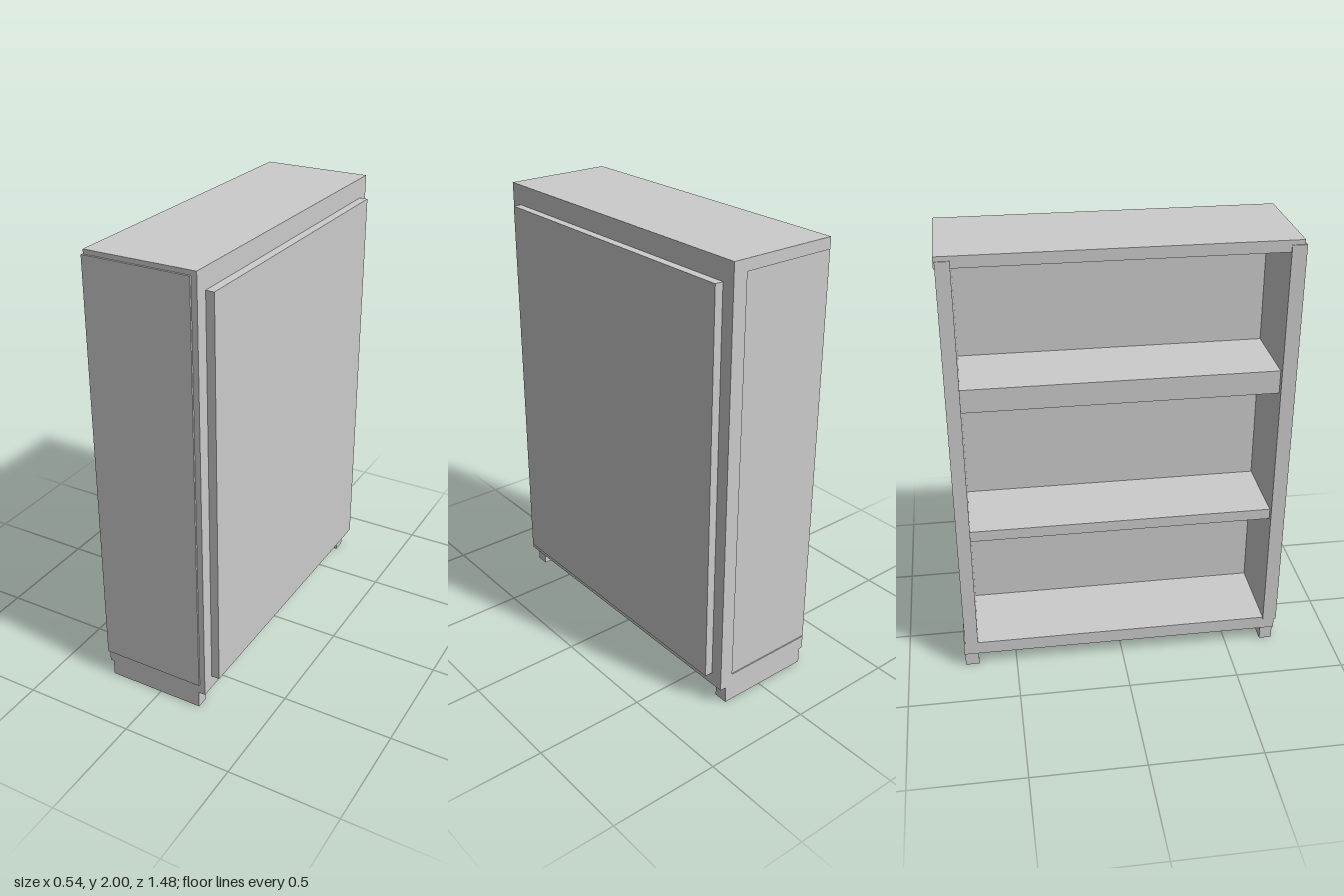
import * as THREE from 'three';

export function createModel() {
  const group = new THREE.Group();
  const material = new THREE.MeshStandardMaterial({ color: 0xcccccc, flatShading: true });

  // Box given by its limits along x, y and z
  function slab(name, [x0, x1], [y0, y1], [z0, z1]) {
    const mesh = new THREE.Mesh(new THREE.BoxGeometry(x1 - x0, y1 - y0, z1 - z0), material);
    mesh.position.set((x0 + x1) / 2, (y0 + y1) / 2, (z0 + z1) / 2);
    mesh.name = name;
    group.add(mesh);
  }

  // Carcass: top, bottom and the two side walls
  slab('topBoard', [-0.265, 0.165], [1.95, 2], [-0.74, 0.73]);
  slab('bottomBoard', [-0.265, 0.2], [0.073, 0.135], [-0.74, 0.73]);
  slab('leftSide', [-0.27, 0.205], [0.125, 1.98], [0.675, 0.738]);
  slab('rightSide', [-0.27, 0.165], [0.125, 1.98], [-0.735, -0.675]);

  // Closed face: inner lining, backing board and raised outer panel
  slab('innerLining', [0.1, 0.165], [0.135, 1.95], [-0.675, 0.675]);
  slab('backingBoard', [0.165, 0.23], [0.08, 2], [-0.74, 0.73]);
  slab('raisedPanel', [0.23, 0.267], [0.14, 1.91], [-0.682, 0.672]);

  // Shelves on the open face, the upper one with a rail under it
  slab('upperShelf', [-0.245, 0.1], [1.37, 1.42], [-0.675, 0.675]);
  slab('upperShelfRail', [-0.245, 0.1], [1.315, 1.37], [-0.675, 0.675]);
  slab('lowerShelf', [-0.245, 0.1], [0.68, 0.73], [-0.675, 0.675]);

  // Feet: a runner with a block at each end, under both sides
  for (const [side, z] of [['left', [0.67, 0.728]], ['right', [-0.738, -0.675]]]) {
    slab(side + 'Runner', [-0.215, 0.175], [0, 0.073], z);
    slab(side + 'OpenEndBlock', [-0.25, -0.215], [0, 0.073], z);
    slab(side + 'PanelEndBlock', [0.175, 0.198], [0, 0.073], z);
  }

  return group;
}
